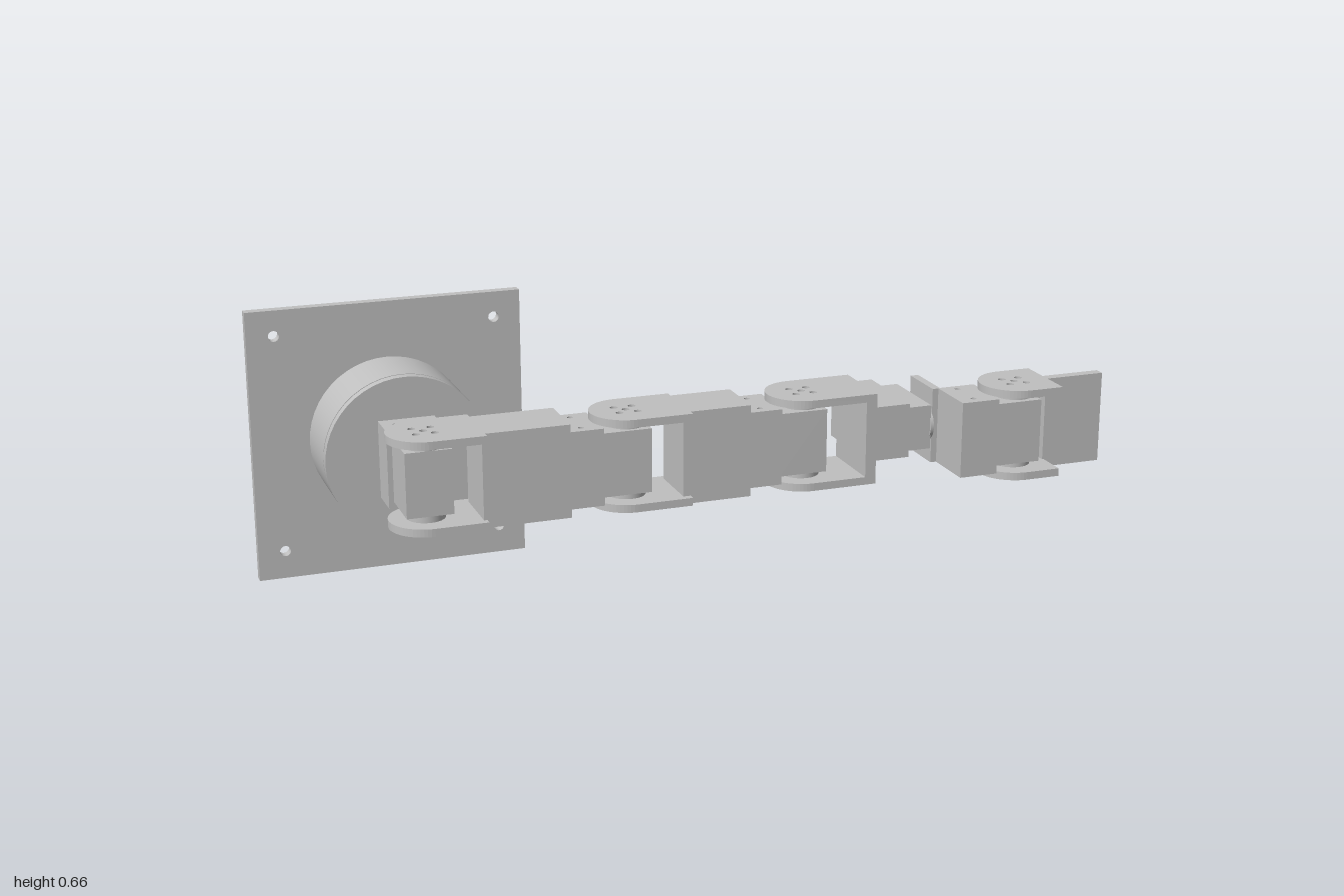
import * as THREE from 'three';

export function createModel() {
  const model = new THREE.Group();
  const grey = new THREE.MeshStandardMaterial({ color: 0xc0c0c0 });
  grey.name = 'light grey';
  const MID = 0.333; // height of the arm's centre line

  function add(parent, name, geometry) {
    const mesh = new THREE.Mesh(geometry, grey);
    mesh.name = name;
    parent.add(mesh);
    return mesh;
  }

  function group(name) {
    const g = new THREE.Group();
    g.name = name;
    model.add(g);
    return g;
  }

  // box given by its limits on each axis
  function block(parent, name, x0, x1, y0, y1, z0, z1) {
    const mesh = add(parent, name, new THREE.BoxGeometry(x1 - x0, y1 - y0, z1 - z0));
    mesh.position.set((x0 + x1) / 2, (y0 + y1) / 2, (z0 + z1) / 2);
    return mesh;
  }

  function drill(shape, points, r) {
    for (const [x, y] of points) {
      const hole = new THREE.Path();
      hole.absarc(x, y, r, 0, Math.PI * 2, true);
      shape.holes.push(hole);
    }
    return shape;
  }

  function rectangle(x0, x1, y0, y1) {
    return new THREE.Shape([[x0, y0], [x1, y0], [x1, y1], [x0, y1]].map(p => new THREE.Vector2(...p)));
  }

  const extrude = (shape, depth) =>
    new THREE.ExtrudeGeometry(shape, { depth, bevelEnabled: false, curveSegments: 16 });

  // outline drawn in x and z, filled between two heights
  function slab(parent, name, shape, y0, y1) {
    const geometry = extrude(shape, y1 - y0);
    geometry.rotateX(Math.PI / 2);
    add(parent, name, geometry).position.y = y1;
  }

  function disc(parent, name, r, depth, x, y, z, axis) {
    const geometry = new THREE.CylinderGeometry(r, r, depth, 48);
    if (axis === 'z') geometry.rotateX(Math.PI / 2);
    if (axis === 'x') geometry.rotateZ(Math.PI / 2);
    add(parent, name, geometry).position.set(x, y, z);
  }

  // pair of rounded ears with a five-hole bolt pattern
  function yoke(parent, cx, cz, length) {
    const r = 0.087, d = 0.022;
    for (const [y0, y1] of [[0.221, 0.24], [0.426, 0.445]]) {
      const shape = new THREE.Shape();
      shape.moveTo(cx + length, cz - r);
      shape.lineTo(cx + length, cz + r);
      shape.lineTo(cx, cz + r);
      shape.absarc(cx, cz, r, Math.PI / 2, Math.PI * 1.5, false);
      drill(shape, [[cx, cz], [cx - d, cz - d], [cx + d, cz - d], [cx - d, cz + d], [cx + d, cz + d]], 0.009);
      slab(parent, 'yokeEar', shape, y0, y1);
    }
  }

  // motor body with an output shaft above and below
  function motor(parent, cx, cz, x0, x1, z0, z1) {
    block(parent, 'motorBody', x0, x1, 0.255, 0.41, z0, z1);
    disc(parent, 'outerShaft', 0.045, 0.186, cx, MID, cz, 'y');
    disc(parent, 'innerShaft', 0.036, 0.19, cx, MID, cz, 'y');
  }

  function holder(parent, x0, x1, z0, z1, holes) {
    slab(parent, 'motorHolder', drill(rectangle(x0, x1, z0, z1), holes, 0.007), 0.24, 0.426);
  }

  // wall plate and turntable
  const base = group('base');
  const plate = drill(rectangle(-1, -0.341, 0, 0.662),
    [[-0.935, 0.6], [-0.406, 0.6], [-0.935, 0.068], [-0.406, 0.068]], 0.013);
  drill(plate, [[-0.8, 0.375], [-0.8, 0.285]], 0.011);
  add(base, 'wallPlate', extrude(plate, 0.025)).position.z = -0.281;
  disc(base, 'baseDrum', 0.193, 0.157, -0.67, MID, -0.1775, 'z');
  disc(base, 'turntableShaft', 0.043, 0.02, -0.67, MID, -0.097, 'z');
  disc(base, 'turntable', 0.193, 0.022, -0.67, MID, -0.084, 'z');

  // shoulder joint
  const CZ = 0.092;
  const shoulder = group('shoulder');
  holder(shoulder, -0.737, -0.603, -0.073, 0.012, [[-0.705, -0.035], [-0.635, -0.035]]);
  motor(shoulder, -0.67, CZ, -0.725, -0.615, 0.012, 0.137);

  // two arm links, each carrying the next joint's motor
  for (const [name, cx, end, bodyEnd] of [
    ['upperArm', -0.67, 0.125, -0.345],
    ['forearm', -0.19, 0.135, 0.095],
  ]) {
    const link = group(name);
    yoke(link, cx, CZ, end);
    block(link, 'linkBody', cx + 0.117, bodyEnd, 0.221, 0.445, 0.023, 0.162);
    holder(link, bodyEnd, bodyEnd + 0.08, 0.025, 0.16, [[bodyEnd + 0.033, 0.05], [bodyEnd + 0.033, 0.135]]);
    const next = bodyEnd + 0.155;
    motor(link, next, CZ, next - 0.075, next + 0.045, 0.037, 0.147);
  }

  // wrist
  const wrist = group('wrist');
  yoke(wrist, 0.25, CZ, 0.16);
  block(wrist, 'wristWall', 0.383, 0.41, 0.24, 0.426, CZ - 0.087, CZ + 0.087);
  block(wrist, 'wristHolder', 0.405, 0.512, 0.266, 0.4, -0.078, 0.145);
  block(wrist, 'wristMotor', 0.512, 0.574, 0.278, 0.387, -0.06, 0.135);
  disc(wrist, 'wristShaft', 0.043, 0.008, 0.576, MID, 0.098, 'x');

  // gripper frame with the fixed jaw
  const gripper = group('gripper');
  const wall = drill(rectangle(-0.13, -0.006, 0.24, 0.426), [[-0.098, MID]], 0.008);
  const wallGeometry = extrude(wall, 0.02);
  wallGeometry.rotateY(Math.PI / 2);
  add(gripper, 'gripperWall', wallGeometry).position.x = 0.579;
  holder(gripper, 0.594, 0.69, 0.127, 0.262, [[0.635, 0.15], [0.635, 0.235]]);
  motor(gripper, 0.765, 0.192, 0.69, 0.81, 0.14, 0.25);
  block(gripper, 'fixedJaw', 0.598, 1, 0.298, 0.366, 0.006, 0.03);
  block(gripper, 'fixedJawTip', 0.966, 1, 0.298, 0.366, 0.03, 0.088);

  // moving jaw
  const jaw = group('movingJaw');
  yoke(jaw, 0.765, 0.192, 0.085);
  block(jaw, 'jawPlate', 0.846, 1, 0.221, 0.445, 0.178, 0.203);
  block(jaw, 'movingJawTip', 0.966, 1, 0.298, 0.366, 0.106, 0.178);

  return model;
}
